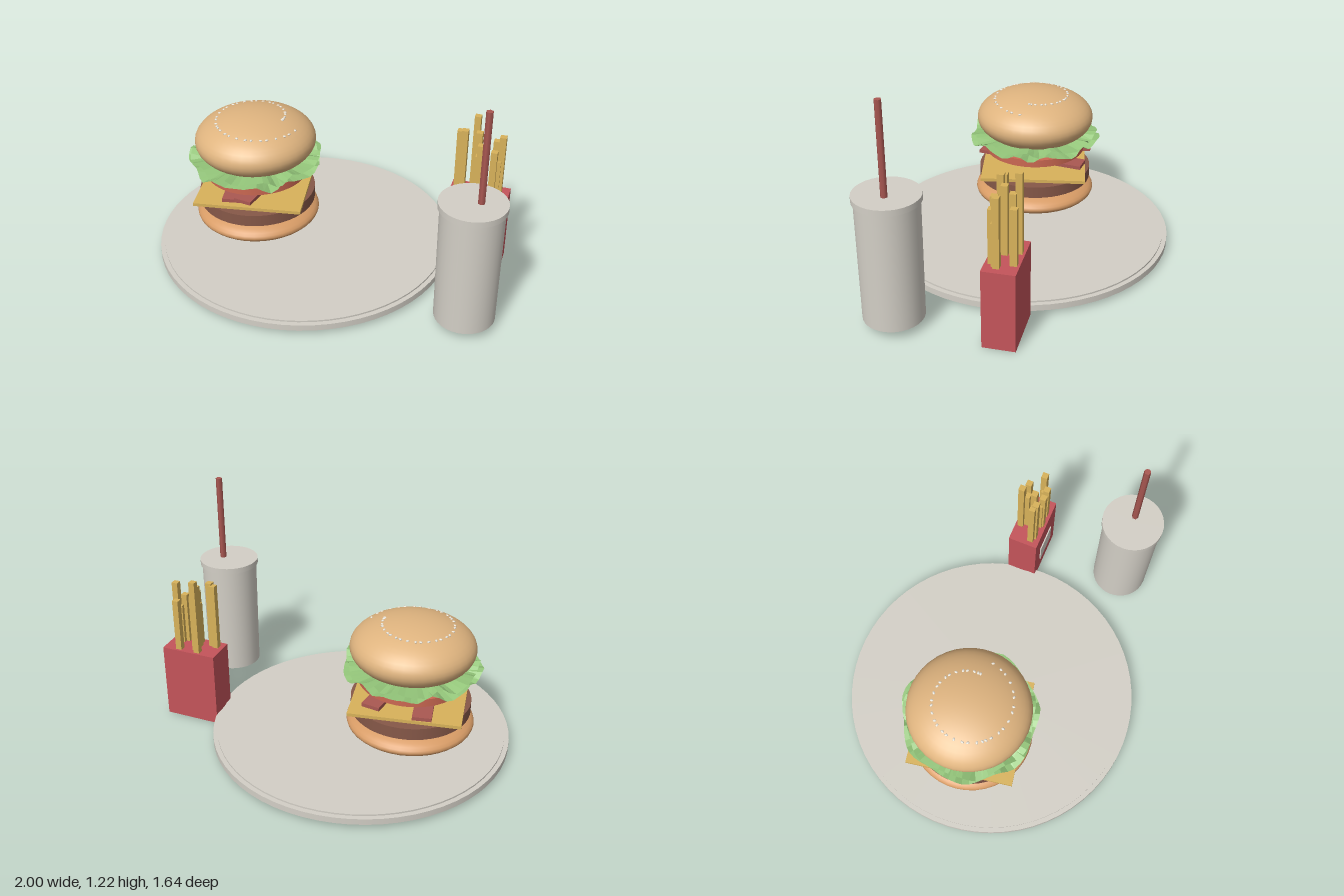
import * as THREE from 'three';

const mat = (name, color, opts = {}) => {
  const m = new THREE.MeshStandardMaterial({ color, ...opts });
  m.name = name;
  return m;
};

export function createModel() {
  const M = {
    stone: mat('warm grey', 0xd3cfc6),
    red: mat('carton red', 0xc4545a),
    bun: mat('bun tan', 0xdfb47f),
    heel: mat('toasted bun', 0xd89c66),
    patty: mat('patty brown', 0x865848),
    cheese: mat('golden yellow', 0xd8b25a),
    tomato: mat('tomato', 0xcb6852),
    lettuce: mat('lettuce green', 0x94c67a, { side: THREE.DoubleSide, flatShading: true }),
    bacon: mat('dark red', 0xaa5852),
    seed: mat('sesame', 0xe8e2d6),
  };
  const model = new THREE.Group();
  model.name = 'burgerMeal';

  const add = (parent, name, geo, material, x = 0, y = 0, z = 0) => {
    const mesh = new THREE.Mesh(geo, material);
    mesh.name = name;
    mesh.position.set(x, y, z);
    parent.add(mesh);
    return mesh;
  };
  const group = (name, x, z) => {
    const g = new THREE.Group();
    g.name = name;
    g.position.set(x, 0, z);
    model.add(g);
    return g;
  };
  // Upright cylinder given by its bottom and top heights
  const disc = (parent, name, r0, r1, y0, y1, material, sides = 48, x = 0, z = 0) =>
    add(parent, name, new THREE.CylinderGeometry(r1, r0, y1 - y0, sides), material, x, (y0 + y1) / 2, z);

  // Plate: wide base with a slightly smaller raised top
  const plate = group('plate', -0.18, 0);
  disc(plate, 'plateBase', 0.82, 0.82, 0.023, 0.057, M.stone, 64);
  disc(plate, 'plateTop', 0.795, 0.795, 0.057, 0.066, M.stone, 64);

  // Burger, stacked from the bottom bun up
  const burger = group('burger', -0.465, 0);
  add(burger, 'bottomBun', new THREE.SphereGeometry(1, 40, 20), M.heel, 0, 0.178, 0).scale.set(0.345, 0.083, 0.345);
  disc(burger, 'patty', 0.323, 0.323, 0.25, 0.316, M.patty);
  add(burger, 'cheese', new THREE.BoxGeometry(0.59, 0.018, 0.59), M.cheese, 0, 0.342, 0).rotation.y = 0.175;
  [[-0.09, 0.386, 0.2], [0.08, 0.395, -0.14]].forEach(([x, y, turn]) => {
    add(burger, 'bacon', new THREE.BoxGeometry(0.1, 0.02, 0.62), M.bacon, x, y, 0).rotation.y = turn;
  });
  disc(burger, 'tomato', 0.285, 0.285, 0.425, 0.468, M.tomato);

  // Lettuce: two ruffled sheets whose waves grow towards the rim
  const leaf = (radius, lift, phase) => {
    const geo = new THREE.RingGeometry(0.05, radius, 64, 4);
    geo.rotateX(-Math.PI / 2);
    const p = geo.attributes.position;
    for (let i = 0; i < p.count; i++) {
      const x = p.getX(i), z = p.getZ(i);
      const a = Math.atan2(z, x);
      const t = Math.hypot(x, z) / radius;
      const k = 1 + t * t * 0.035 * Math.sin(a * 7 + phase);
      const y = lift + t * t * (0.014 * Math.sin(a * 11 + phase) + 0.008 * Math.sin(a * 17 + 2 * phase));
      p.setXYZ(i, x * k, y, z * k);
    }
    geo.computeVertexNormals();
    return geo;
  };
  add(burger, 'lettuceLower', leaf(0.365, 0.508, 0.4), M.lettuce);
  add(burger, 'lettuceUpper', leaf(0.35, 0.528, 1.7), M.lettuce);

  add(burger, 'topBun', new THREE.SphereGeometry(1, 40, 24), M.bun, 0, 0.62, 0).scale.set(0.333, 0.155, 0.333);

  // Sesame seeds scattered in a band over the top bun
  const seedGeo = new THREE.SphereGeometry(1, 8, 6);
  for (let i = 0; i < 36; i++) {
    const a = i * 2.4;
    const r = 0.16 + 0.09 * ((i * 0.618) % 1);
    const y = 0.62 + 0.155 * Math.sqrt(1 - (r / 0.333) ** 2);
    const seed = add(burger, 'sesameSeed', seedGeo, M.seed, r * Math.cos(a), y, r * Math.sin(a));
    seed.scale.set(0.01, 0.005, 0.007);
    seed.rotation.y = i * 1.3;
  }

  // Drink cup with lid and straw
  const cup = group('drinkCup', 0.826, 0.425);
  disc(cup, 'cupBody', 0.157, 0.16, 0.05, 0.7, M.stone, 32);
  disc(cup, 'cupLid', 0.17, 0.17, 0.697, 0.729, M.stone, 32);
  disc(cup, 'straw', 0.018, 0.018, 0.72, 1.22, M.bacon, 6, 0.037, -0.002);

  // Carton of fries with a plain label
  const carton = group('friesCarton', 0.766, -0.135);
  add(carton, 'carton', new THREE.BoxGeometry(0.315, 0.43, 0.17), M.red, 0, 0.215, 0);
  add(carton, 'cartonLabel', new THREE.BoxGeometry(0.16, 0.14, 0.008), M.stone, 0, 0.2, 0.088);
  // Each fry: x, z, top height
  [
    [-0.115, 0.035, 0.81], [-0.09, 0.045, 0.82], [-0.045, -0.055, 0.86], [-0.02, 0.01, 0.8],
    [0.0, 0.055, 0.75], [0.065, -0.055, 0.73], [-0.01, 0.045, 0.68], [0.07, 0.05, 0.72],
    [0.09, 0.03, 0.66], [0.105, 0.02, 0.8], [-0.025, -0.03, 0.76],
  ].forEach(([x, z, top]) => {
    add(carton, 'fry', new THREE.BoxGeometry(0.034, top - 0.38, 0.034), M.cheese, x, (top + 0.38) / 2, z);
  });

  return model;
}
